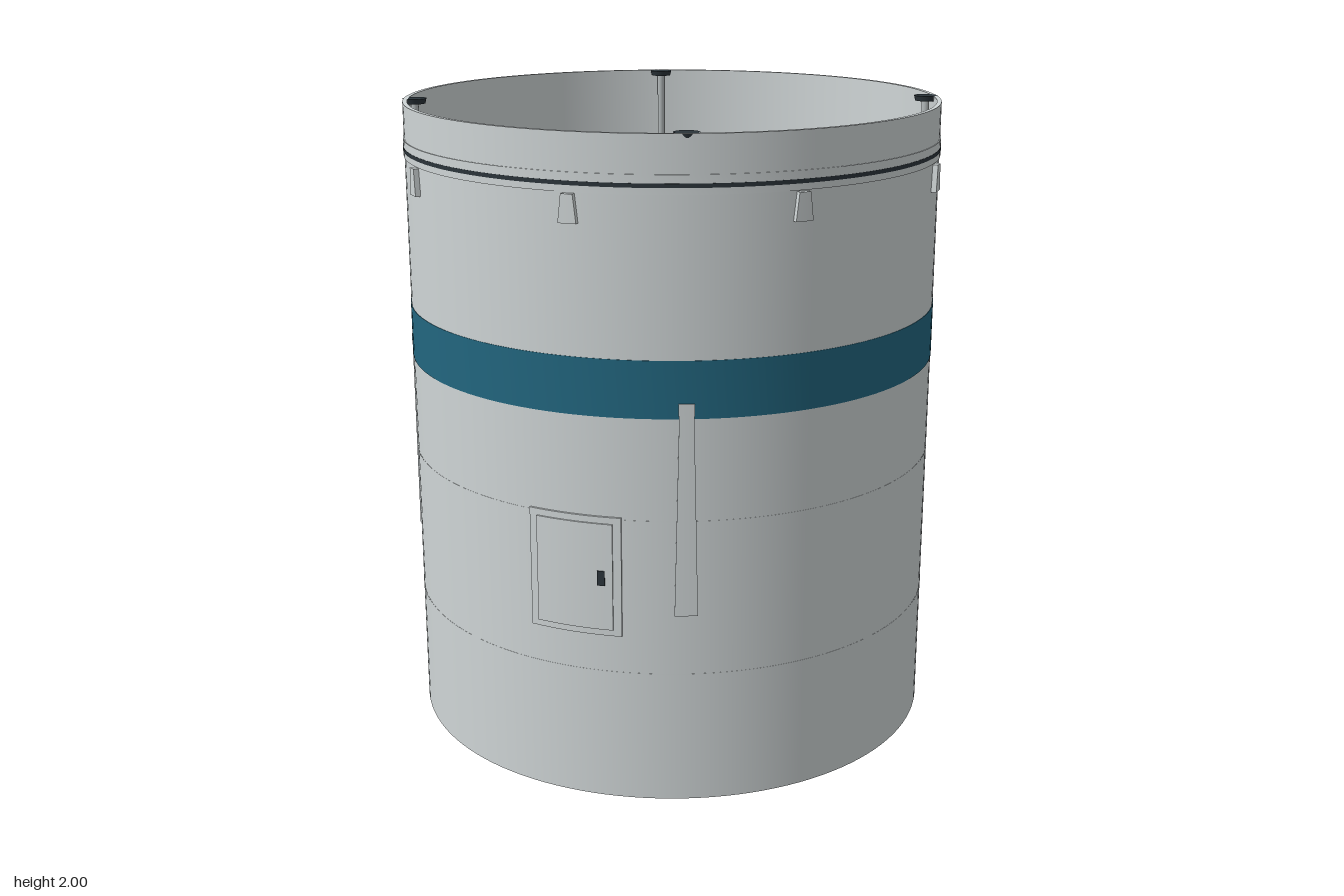
import * as THREE from 'three';
import { toCreasedNormals } from 'three/addons/utils/BufferGeometryUtils.js';

const R = 0.84;
const rad = THREE.MathUtils.degToRad;
const mat = (name, color) => new THREE.MeshStandardMaterial({ name, color });

// Closed ring of revolution with crisp edges; profile runs up the outside, down the inside
function revolve(profile) {
  const pts = [...profile, profile[0]].map(([r, y]) => new THREE.Vector2(r, y));
  return toCreasedNormals(new THREE.LatheGeometry(pts, 128), rad(30));
}
const ring = (r0, r1, y0, y1) => revolve([[r1, y0], [r1, y1], [r0, y1], [r0, y0]]);

// Box wrapped round the shell: width w, from radius r0 to r1, top narrowed by taper
function wrapped(w, y0, y1, r0, r1, azimuth, taper = 1) {
  const g = new THREE.BoxGeometry(w, y1 - y0, r1 - r0, 8, 1, 1);
  const p = g.attributes.position;
  for (let i = 0; i < p.count; i++) {
    const top = p.getY(i) > 0;
    const a = rad(azimuth) + (p.getX(i) * (top ? taper : 1)) / R;
    const r = (r0 + r1) / 2 + p.getZ(i);
    p.setXYZ(i, r * Math.sin(a), (y0 + y1) / 2 + p.getY(i), r * Math.cos(a));
  }
  g.computeVertexNormals();
  return g;
}

export function createModel() {
  const model = new THREE.Group();
  model.name = 'cylindricalShell';
  const shell = mat('shellGrey', 0xcfd5d6);
  const frame = mat('frameGrey', 0xb4babb);
  const blue = mat('bandBlue', 0x22667f);
  const dark = mat('darkRubber', 0x2b343a);

  const add = (name, geometry, material, parent = model) => {
    const m = new THREE.Mesh(geometry, material);
    m.name = name;
    parent.add(m);
    return m;
  };
  // Round part placed at a radius and azimuth
  const place = (mesh, r, azimuth, y) =>
    mesh.position.set(r * Math.sin(rad(azimuth)), y, r * Math.cos(rad(azimuth)));

  // Thin open wall and its painted band
  add('wall', ring(0.826, R, 0, 2), shell);
  add('paintedBand', ring(R - 0.002, R + 0.0015, 1.2, 1.37), blue);

  // Separation joint near the top
  add('jointRingLower', ring(R - 0.004, 0.843, 1.835, 1.854), shell);
  add('jointSeal', ring(R - 0.004, 0.844, 1.854, 1.866), dark);
  add('jointRingUpper', ring(R - 0.004, 0.843, 1.866, 1.89), shell);

  // Faint wall seams
  for (const y of [0.41, 0.89]) add('wallSeam', ring(R - 0.002, R + 0.0006, y - 0.003, y + 0.003), shell);

  // Inner frames and stringers
  add('lowerFrame', ring(0.814, 0.83, 0.18, 0.2), frame);
  add('upperFrame', ring(0.814, 0.83, 1.71, 1.73), frame);
  for (let i = 0; i < 24; i++) {
    add('stringer', wrapped(0.02, 0.19, 1.72, 0.816, 0.828, 7.5 + i * 15), frame);
  }

  // Trapezoid brackets under the joint
  for (let i = 0; i < 8; i++) {
    add('bracket', wrapped(0.054, 1.75, 1.832, 0.835, 0.856, 22.5 + i * 45, 0.65), shell);
  }

  // Four pushers with outer fairings, inner rods and round tanks
  for (let i = 0; i < 4; i++) {
    const az = 45 + i * 90;
    const pusher = new THREE.Group();
    pusher.name = 'pusher';
    model.add(pusher);
    add('fairing', wrapped(0.068, 0.6, 1.21, 0.835, 0.845, az, 0.62), shell, pusher);
    add('fairingTip', wrapped(0.046, 1.21, 1.245, 0.835, 0.846, az), shell, pusher);
    place(add('pusherBody', new THREE.CylinderGeometry(0.026, 0.026, 0.66, 24), frame, pusher), 0.803, az, 0.91);
    place(add('pusherRod', new THREE.CylinderGeometry(0.012, 0.012, 0.75, 16), frame, pusher), 0.806, az, 1.612);
    place(add('pusherCap', new THREE.CylinderGeometry(0.037, 0.033, 0.016, 28), dark, pusher), 0.806, az, 1.992);
    for (const y of [0.68, 1.15]) {
      add('pusherClamp', wrapped(0.07, y - 0.01, y + 0.01, 0.795, 0.83, az), frame, pusher);
    }
    for (const s of [-7.3, 7.3]) {
      place(add('tank', new THREE.SphereGeometry(0.033, 24, 16), dark, pusher), 0.8, az + s, 0.49);
    }
  }

  // Access hatch with latch
  const hatch = new THREE.Group();
  hatch.name = 'hatch';
  model.add(hatch);
  add('hatchFrame', wrapped(0.285, 0.53, 0.9, 0.832, 0.847, -67.5), shell, hatch);
  add('hatchPanel', wrapped(0.235, 0.55, 0.88, 0.84, 0.852, -67.5), shell, hatch);
  add('hatchLatch', wrapped(0.022, 0.69, 0.735, 0.845, 0.856, -61.8), dark, hatch);

  return model;
}
